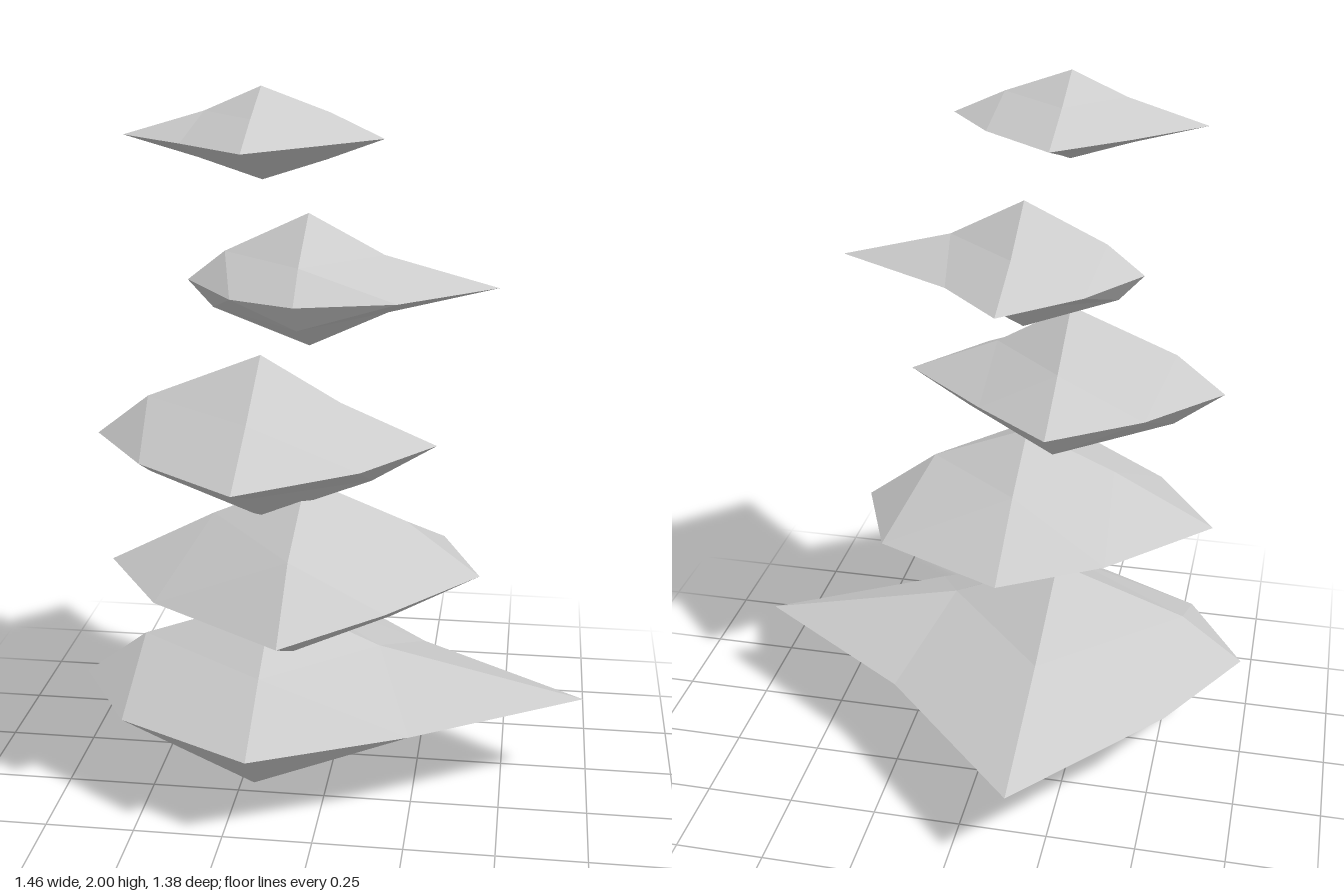
import * as THREE from 'three';

// Each stone is an octahedron split once: six tips on its axes plus one knuckle per edge.
// Knuckles above and below the rim sit at a fixed fraction (rise) of the stone's height.
function stoneGeometry(y, { core: [cx, cz], tipX, tipZ, height, rise, rimX, rimZ, sideX, sideZ }) {
  const pos = [];
  // One octant at a time: three tips, three knuckles, four triangles
  for (let octant = 0; octant < 8; octant++) {
    const i = octant & 1, j = (octant >> 1) & 1, k = octant >> 2;
    const lift = (j ? 1 : -1) * height[j];
    const X = [tipX[i], y, cz];
    const Y = [cx, y + lift, cz];
    const Z = [cx, y, tipZ[k]];
    const XY = [sideX[i + 2 * j], y + lift * rise, cz];
    const YZ = [cx, y + lift * rise, sideZ[k + 2 * j]];
    const XZ = [rimX[i + 2 * k], y, rimZ[k]];
    const flip = (i + j + k) % 2 === 0; // mirrored octants reverse their winding
    for (const [p, q, r] of [[X, XY, XZ], [XY, Y, YZ], [XZ, YZ, Z], [XY, YZ, XZ]]) {
      pos.push(...p, ...(flip ? r : q), ...(flip ? q : r));
    }
  }
  const geo = new THREE.BufferGeometry();
  geo.setAttribute('position', new THREE.Float32BufferAttribute(pos, 3));
  geo.computeVertexNormals();
  return geo;
}

export function createModel() {
  const group = new THREE.Group();
  group.name = 'stoneStack';
  const material = new THREE.MeshStandardMaterial({ color: 0xcccccc, flatShading: true });

  // Stones are stacked at even steps
  const addStone = (level, name, shape) => {
    const mesh = new THREE.Mesh(stoneGeometry(0.27 + 0.4 * level, shape), material);
    mesh.name = name;
    group.add(mesh);
  };

  addStone(0, 'baseStone', {
    core: [-0.17, 0.08], tipX: [-0.73, 0.73], tipZ: [-0.69, 0.565],
    height: [0.27, 0.27], rise: 0.5,
    rimX: [-0.54, 0.25, -0.555, 0.25], rimZ: [-0.25, 0.37],
    sideX: [-0.48, 0.156, -0.55, 0.14], sideZ: [-0.22, 0.43, -0.267, 0.34],
  });
  addStone(1, 'lowerStone', {
    core: [-0.06, 0.16], tipX: [-0.617, 0.425], tipZ: [-0.3, 0.695],
    height: [0.23, 0.266], rise: 0.58,
    rimX: [-0.34, 0.31, -0.43, 0.19], rimZ: [-0.13, 0.45],
    sideX: [-0.28, 0.18, -0.32, 0.22], sideZ: [-0.02, 0.42, -0.06, 0.495],
  });
  addStone(2, 'middleStone', {
    core: [-0.17, 0.23], tipX: [-0.622, 0.304], tipZ: [-0.177, 0.685],
    height: [0.225, 0.235], rise: 0.47,
    rimX: [-0.42, 0.05, -0.45, 0.125], rimZ: [0, 0.473],
    sideX: [-0.48, 0.13, -0.48, 0.045], sideZ: [-0.04, 0.41, 0.02, 0.46],
  });
  addStone(3, 'upperStone', {
    core: [-0.06, 0.08], tipX: [-0.394, 0.453], tipZ: [-0.303, 0.376],
    height: [0.175, 0.19], rise: 0.43,
    rimX: [-0.26, 0.114, -0.237, 0.2], rimZ: [-0.12, 0.302],
    sideX: [-0.325, 0.156, -0.29, 0.145], sideZ: [-0.055, 0.315, -0.1, 0.278],
  });
  addStone(4, 'topStone', {
    core: [-0.17, 0.16], tipX: [-0.538, 0.15], tipZ: [-0.168, 0.475],
    height: [0.11, 0.13], rise: 0.5,
    rimX: [-0.36, 0.025, -0.355, 0], rimZ: [-0.01, 0.31],
    sideX: [-0.34, 0, -0.32, 0.01], sideZ: [0, 0.315, 0.013, 0.325],
  });
  return group;
}
